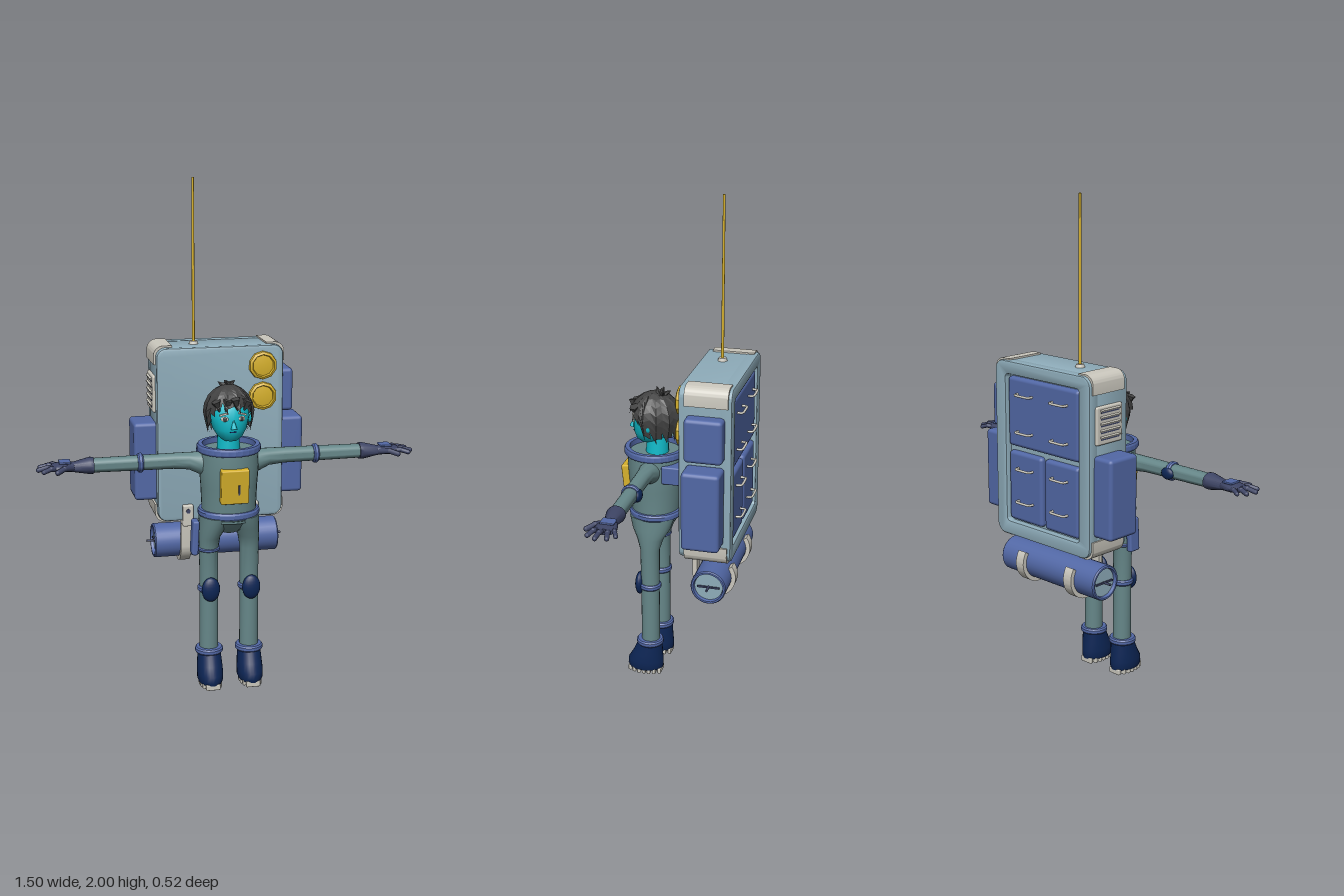
import * as THREE from 'three';
import { toCreasedNormals } from 'three/addons/utils/BufferGeometryUtils.js';
import { RoundedBoxGeometry } from 'three/addons/geometries/RoundedBoxGeometry.js';

const colour = (name, hex, extra = {}) => Object.assign(new THREE.MeshStandardMaterial({ color: hex, ...extra }), { name });
const V = (x, y, z) => new THREE.Vector3(x, y, z);

// Stack of ellipses, bottom to top: [y, cx, cz, rx, rz]
function loft(sections, seg = 20) {
  const rows = [[...sections[0].slice(0, 3), 0, 0], ...sections, [...sections.at(-1).slice(0, 3), 0, 0]];
  const pos = [], idx = [];
  rows.forEach(([y, cx, cz, rx, rz], j) => {
    for (let i = 0; i < seg; i++) {
      const a = (i / seg) * Math.PI * 2;
      pos.push(cx + rx * Math.cos(a), y, cz + rz * Math.sin(a));
      if (!j) continue;
      const n = (i + 1) % seg, p = (j - 1) * seg, q = j * seg;
      idx.push(p + i, q + i, p + n, p + n, q + i, q + n);
    }
  });
  const g = new THREE.BufferGeometry();
  g.setAttribute('position', new THREE.Float32BufferAttribute(pos, 3));
  g.setIndex(idx);
  return toCreasedNormals(g, 0.8);
}

const lathe = (pts, seg = 28) => toCreasedNormals(new THREE.LatheGeometry(pts.map(p => new THREE.Vector2(...p)), seg), 0.6);
const band = (r, h, t = 0.02, seg = 28) => lathe([[r - t, -h / 2], [r - 0.005, -h / 2], [r, -h / 4], [r, h / 4], [r - 0.005, h / 2], [r - t, h / 2], [r - t, -h / 2]], seg);
const box = (w, h, d, r = 0.01) => new RoundedBoxGeometry(w, h, d, 2, r);

function roundRect(target, x0, y0, x1, y1, r) {
  target.moveTo(x0 + r, y0);
  target.lineTo(x1 - r, y0).absarc(x1 - r, y0 + r, r, -Math.PI / 2, 0);
  target.lineTo(x1, y1 - r).absarc(x1 - r, y1 - r, r, 0, Math.PI / 2);
  target.lineTo(x0 + r, y1).absarc(x0 + r, y1 - r, r, Math.PI / 2, Math.PI);
  target.lineTo(x0, y0 + r).absarc(x0 + r, y0 + r, r, Math.PI, Math.PI * 1.5);
  return target;
}

export function createModel() {
  const model = new THREE.Group();
  const pale = colour('paleBlueShell', 0x8fadbb), blue = colour('blueFabric', 0x5268a6), navy = colour('navyRubber', 0x0d2656);
  const suit = colour('tealSuit', 0x668789), light = colour('offWhite', 0xcbc8be), yellow = colour('yellow', 0xd8b22c);
  const skin = colour('cyanSkin', 0x10bccb), glove = colour('slateGlove', 0x3d4464);
  const hair = colour('charcoalHair', 0x424242, { flatShading: true, side: THREE.DoubleSide });

  const group = name => { const g = new THREE.Group(); g.name = name; model.add(g); return g; };
  const add = (parent, name, geo, mat, p = [0, 0, 0], r = [0, 0, 0]) => {
    const m = new THREE.Mesh(geo, mat);
    m.name = name; m.position.set(...p); m.rotation.set(...r);
    parent.add(m); return m;
  };
  const rod = (parent, name, a, b, r, mat) => {
    const d = b.clone().sub(a);
    const m = add(parent, name, new THREE.CapsuleGeometry(r, d.length(), 4, 10), mat, a.clone().add(b).multiplyScalar(0.5).toArray());
    m.quaternion.setFromUnitVectors(V(0, 1, 0), d.normalize());
  };
  const ball = (parent, name, mat, p, s, r) => add(parent, name, new THREE.SphereGeometry(1, 18, 12), mat, p, r).scale.set(...s);

  // ---- Backpack shell, with a recessed rear ----
  const pack = group('backpack');
  const shell = roundRect(new THREE.Shape(), -0.245, 0.645, 0.25, 1.335, 0.03);
  const body = new THREE.ExtrudeGeometry(shell, { depth: 0.16, bevelThickness: 0.01, bevelSize: 0.01, bevelSegments: 2, curveSegments: 6 });
  add(pack, 'packShell', toCreasedNormals(body, 0.6), pale, [0, 0, -0.2]);
  const rim = roundRect(new THREE.Shape(), -0.25, 0.64, 0.255, 1.34, 0.035);
  rim.holes.push(roundRect(new THREE.Path(), -0.205, 0.685, 0.21, 1.3, 0.02));
  const rimGeo = new THREE.ExtrudeGeometry(rim, { depth: 0.035, bevelThickness: 0.006, bevelSize: 0.006, bevelSegments: 2, curveSegments: 6 });
  add(pack, 'rearFrame', toCreasedNormals(rimGeo, 0.6), pale, [0, 0, -0.232]);

  // Rear panels and their grab handles
  const panel = (x, y, w, h) => add(pack, 'rearPanel', box(w, h, 0.04, 0.015), blue, [x, y, -0.212]);
  panel(0.003, 1.145, 0.39, 0.28);
  for (const s of [-1, 1]) {
    panel(0.003 + s * 0.1, 0.842, 0.187, 0.285);
    for (const y of [1.22, 1.07, 0.92, 0.785]) {
      const c = new THREE.CatmullRomCurve3([V(-0.04, 0, 0.03), V(-0.036, 0, 0.002), V(0.036, 0, 0.002), V(0.04, 0, 0.03)], false, 'catmullrom', 0.2);
      add(pack, 'grabHandle', new THREE.TubeGeometry(c, 16, 0.005, 8), light, [0.003 + s * 0.096, y, -0.255]);
    }
  }

  // Wrapped corner guards
  for (const sx of [-1, 1]) for (const sy of [-1, 1]) {
    const g = new THREE.Shape();
    g.moveTo(0, 0.075).lineTo(0, 0.04).absarc(-0.04, 0.04, 0.04, 0, -Math.PI / 2, true);
    g.lineTo(-0.075, 0).lineTo(-0.075, 0.018).lineTo(-0.04, 0.018);
    g.absarc(-0.04, 0.04, 0.022, -Math.PI / 2, 0, false).lineTo(-0.018, 0.075).closePath();
    const geo = new THREE.ExtrudeGeometry(g, { depth: 0.17, bevelEnabled: false, curveSegments: 8 });
    geo.translate(0, 0, -0.085);
    const turn = sx > 0 ? (sy > 0 ? Math.PI / 2 : 0) : (sy > 0 ? Math.PI : -Math.PI / 2);
    add(pack, 'cornerGuard', toCreasedNormals(geo, 0.6), light, [0.003 + sx * 0.266, 0.99 + sy * 0.362, -0.14], [0, 0, turn]);
  }

  // Side pouches and louvred vent
  for (const s of [-1, 1]) add(pack, 'lowerPouch', box(0.1, 0.32, 0.15, 0.015), blue, [0.005 + s * 0.298, 0.88, -0.137]);
  add(pack, 'upperPouch', box(0.07, 0.175, 0.15, 0.015), blue, [0.275, 1.152, -0.137]);
  add(pack, 'ventPlate', box(0.02, 0.15, 0.14, 0.008), light, [-0.256, 1.155, -0.137]);
  for (let i = 0; i < 5; i++) {
    add(pack, 'ventSlot', new THREE.BoxGeometry(0.004, 0.007, 0.1), glove, [-0.266, 1.103 + i * 0.026, -0.137]);
    add(pack, 'ventSlat', new THREE.BoxGeometry(0.012, 0.006, 0.104), light, [-0.267, 1.111 + i * 0.026, -0.137], [0, 0, 0.4]);
  }

  // Front lamps and aerial
  for (const y of [1.265, 1.14]) {
    const lamp = lathe([[0, 0], [0.052, 0], [0.058, 0.008], [0.056, 0.02], [0.046, 0.025], [0.042, 0.016], [0, 0.022]], 10);
    add(pack, 'lamp', lamp, yellow, [0.173, y, -0.033], [Math.PI / 2, 0, 0]);
  }
  add(pack, 'aerialBase', new THREE.CylinderGeometry(0.015, 0.02, 0.015, 16), light, [-0.09, 1.35, -0.118]);
  add(pack, 'aerial', new THREE.CylinderGeometry(0.005, 0.006, 0.65, 10), yellow, [-0.09, 1.675, -0.118]);

  // Bedroll slung in two hooked straps
  const roll = lathe([[0.056, -0.245], [0.06, -0.26], [0.067, -0.26], [0.071, -0.255], [0.071, 0.255], [0.067, 0.26], [0.06, 0.26], [0.056, 0.245]]);
  add(pack, 'bedroll', roll, blue, [0, 0.52, -0.15], [0, 0, Math.PI / 2]);
  add(pack, 'bedrollEnds', new THREE.CylinderGeometry(0.06, 0.06, 0.494, 24), pale, [0, 0.52, -0.15], [0, 0, Math.PI / 2]);
  add(pack, 'bedrollAxle', new THREE.CylinderGeometry(0.005, 0.005, 0.57, 8), glove, [0, 0.52, -0.15], [0, 0, Math.PI / 2]);
  for (const s of [-1, 1]) {
    add(pack, 'axleBar', new THREE.BoxGeometry(0.006, 0.007, 0.09), glove, [s * 0.252, 0.52, -0.15]);
    const j = new THREE.Shape();
    j.moveTo(-0.062, 0.635).lineTo(-0.062, 0.52).absarc(-0.15, 0.52, 0.088, 0, -3.75, true);
    j.absarc(-0.15, 0.52, 0.07, -3.75, 0, false).lineTo(-0.08, 0.635).closePath();
    const strap = new THREE.ExtrudeGeometry(j, { depth: 0.042, bevelEnabled: false, curveSegments: 24 });
    strap.translate(0, 0, -0.021).rotateY(-Math.PI / 2);
    add(pack, 'rollStrap', toCreasedNormals(strap, 0.6), light, [s * 0.135, 0, 0]);
    add(pack, 'strapBracket', box(0.044, 0.085, 0.022, 0.006), light, [s * 0.135, 0.662, -0.021]);
    add(pack, 'bracketFoot', box(0.044, 0.022, 0.06, 0.006), light, [s * 0.135, 0.626, -0.04]);
    add(pack, 'bracketBolt', new THREE.CylinderGeometry(0.009, 0.009, 0.006, 12), glove, [s * 0.135, 0.68, -0.009], [Math.PI / 2, 0, 0]);
  }

  // ---- Suit torso ----
  const torso = group('torso'), Z = 0.133;
  add(torso, 'suitBody', loft([[0.69, 0, Z, 0.11, 0.095], [0.74, 0, Z, 0.108, 0.098], [0.83, 0, Z, 0.112, 0.106], [0.91, 0, Z, 0.118, 0.112], [0.972, 0, Z, 0.112, 0.11]], 28), suit);
  add(torso, 'pelvis', loft([[0.635, 0, Z, 0.03, 0.03], [0.655, 0, Z, 0.09, 0.062], [0.705, 0, Z, 0.115, 0.1]], 28), suit);
  add(torso, 'neckRing', band(0.126, 0.03, 0.022), blue, [0, 0.98, Z]);
  add(torso, 'waistRing', band(0.123, 0.028), blue, [0, 0.72, Z - 0.004]).scale.z = 0.9;
  add(torso, 'chestBox', box(0.11, 0.138, 0.045, 0.005), yellow, [0, 0.848, 0.234], [0.1, 0, 0]);
  add(torso, 'chestBoxLatch', new THREE.BoxGeometry(0.006, 0.04, 0.006), glove, [0.015, 0.835, 0.256], [0.1, 0, 0]);
  add(torso, 'backMount', box(0.21, 0.075, 0.09, 0.006), blue, [0, 0.91, 0.037]);
  for (const x of [-0.075, -0.025, 0.025, 0.08]) add(torso, 'mountPin', new THREE.BoxGeometry(0.016, 0.06, 0.025), blue, [x, 0.91, -0.012]);

  // ---- Arms, gloves, legs and boots ----
  for (const s of [-1, 1]) {
    const arm = group(s > 0 ? 'leftArm' : 'rightArm'), turn = [0, 0, -s * Math.PI / 2], Y = 0.933;
    const along = (name, secs, mat) => add(arm, name, loft(secs.map(([x, dy, ry, rz]) => [x, -s * dy, 0, ry, rz])), mat, [0, Y, 0.13], turn);
    along('sleeve', [[0.05, -0.025, 0.055, 0.055], [0.115, -0.014, 0.045, 0.042], [0.16, -0.003, 0.034, 0.034], [0.22, 0, 0.031, 0.031], [0.54, 0, 0.028, 0.03]], suit);
    add(arm, 'elbowBand', band(0.038, 0.022), blue, [s * 0.35, Y, 0.13], turn);
    ball(arm, 'elbowPad', navy, [s * 0.35, Y - 0.004, 0.1], [0.03, 0.024, 0.014]);
    along('gloveCuff', [[0.53, 0, 0.032, 0.036], [0.545, 0, 0.033, 0.037], [0.605, -0.002, 0.02, 0.025], [0.62, -0.002, 0.018, 0.025]], glove);
    along('palm', [[0.6, -0.002, 0.018, 0.024], [0.63, 0, 0.019, 0.037], [0.665, 0, 0.017, 0.044], [0.69, 0, 0.012, 0.038]], glove);
    add(arm, 'handPlate', box(0.045, 0.008, 0.054, 0.003), blue, [s * 0.64, Y + 0.019, 0.127]);
    for (const [x0, z0, x1, z1, r] of [[0.66, 0.1, 0.708, 0.078, 0.009], [0.67, 0.117, 0.732, 0.104, 0.01], [0.67, 0.137, 0.741, 0.146, 0.01], [0.665, 0.153, 0.722, 0.18, 0.01], [0.615, 0.15, 0.672, 0.2, 0.011]]) {
      const mid = V(s * (x0 + x1) / 2, Y + 0.004, (z0 + z1) / 2);
      rod(arm, 'finger', V(s * x0, Y - 0.002, z0), mid, r * 1.08, glove);
      rod(arm, 'fingerTip', mid, V(s * x1, Y - 0.004, z1), r * 0.95, glove);
    }

    const leg = group(s > 0 ? 'leftLeg' : 'rightLeg'), X = s * 0.082;
    add(leg, 'trouser', loft([[0.1, X, 0.137, 0.038, 0.038], [0.4, X, 0.137, 0.037, 0.038], [0.57, X, 0.137, 0.038, 0.04], [0.62, s * 0.079, 0.136, 0.043, 0.055], [0.66, s * 0.066, 0.134, 0.054, 0.078], [0.71, s * 0.056, Z, 0.062, 0.093]]), suit);
    add(leg, 'kneeBand', band(0.045, 0.024), blue, [X, 0.405, 0.137]);
    ball(leg, 'kneePad', navy, [X, 0.41, 0.18], [0.037, 0.05, 0.02]);
    add(leg, 'boot', loft([[0.018, X, 0.16, 0.047, 0.072], [0.03, X, 0.16, 0.051, 0.076], [0.055, X, 0.159, 0.052, 0.075], [0.09, X, 0.15, 0.05, 0.063], [0.14, X, 0.14, 0.046, 0.05]], 24), navy);
    add(leg, 'bootCuff', band(0.056, 0.024, 0.024), blue, [X, 0.145, 0.14]);
    for (let i = -3; i <= 3; i++) {
      const w = 0.09 * Math.sqrt(1 - (i / 3.9) ** 2);
      add(leg, 'soleTread', box(w, 0.024, 0.015, 0.004), light, [X, 0.012, 0.16 + i * 0.021]);
    }
  }
  // Thigh holster on the right leg
  add(model, 'holster', box(0.026, 0.14, 0.055, 0.008), blue, [-0.138, 0.62, 0.137], [0, 0, -0.05]);
  add(model, 'holsterStrap', band(0.045, 0.014), blue, [-0.082, 0.57, 0.137]);

  // ---- Head ----
  const head = group('head');
  add(head, 'neck', loft([[0.96, 0, 0.125, 0.046, 0.046], [1.06, 0, 0.125, 0.042, 0.044]]), skin);
  add(head, 'face', loft([[1.015, 0, 0.162, 0.028, 0.032], [1.03, 0, 0.153, 0.049, 0.057], [1.06, 0, 0.143, 0.067, 0.077], [1.105, 0, 0.138, 0.078, 0.084], [1.15, 0, 0.134, 0.077, 0.08], [1.19, 0, 0.13, 0.05, 0.055]], 24), skin);
  add(head, 'nose', new THREE.ConeGeometry(0.013, 0.042, 8), skin, [0, 1.09, 0.223], [-0.2, 0, 0]);
  add(head, 'mouth', new THREE.BoxGeometry(0.026, 0.004, 0.006), navy, [0, 1.057, 0.218]);
  for (const s of [-1, 1]) {
    ball(head, 'eyeWhite', light, [s * 0.034, 1.108, 0.2125], [0.015, 0.01, 0.004], [0, s * 0.4, 0]);
    ball(head, 'pupil', hair, [s * 0.033, 1.108, 0.215], [0.008, 0.009, 0.004], [0, s * 0.4, 0]);
    add(head, 'eyebrow', new THREE.BoxGeometry(0.034, 0.007, 0.008), light, [s * 0.037, 1.126, 0.212], [0, s * 0.4, -s * 0.3]);
    ball(head, 'ear', skin, [s * 0.08, 1.1, 0.14], [0.012, 0.025, 0.017]);
  }

  // Ragged hair: a dome whose lower edge is high over the face and low behind
  const seg = 24, dome = new THREE.SphereGeometry(1, seg, 8), p = dome.attributes.position, uv = dome.attributes.uv;
  for (let i = 0; i < p.count; i++) {
    const k = (i % (seg + 1)) % seg, a = (k / seg) * Math.PI * 2, v = Math.floor(i / (seg + 1)) / 8;
    const off = Math.abs(a - Math.PI / 2 > Math.PI ? a - Math.PI * 2.5 : a - Math.PI / 2);
    const edge = 1.3 + 1.05 * THREE.MathUtils.smoothstep(off, 0.6, 1.5) + (k % 2 ? 0.16 : -0.1);
    const t = v * edge, r = (t > 1.57 ? 1 - 0.22 * (t - 1.57) : Math.sin(t)) * (k % 2 ? 1.04 : 0.98);
    p.setXYZ(i, -Math.cos(a) * r * 0.096, 1.118 + Math.cos(t) * 0.108, 0.13 + Math.sin(a) * r * 0.103);
  }
  add(head, 'hair', dome, hair);
  for (const [x, y, z, rx, rz] of [[0, 1.225, 0.12, 0.5, 0.5], [0.015, 1.222, 0.1, -0.7, -0.9], [-0.02, 1.22, 0.11, -0.2, 0.9], [0, 1.22, 0.09, -1.1, 0.2]])
    add(head, 'hairTuft', new THREE.ConeGeometry(0.022, 0.05, 6), hair, [x, y, z], [rx, 0, rz]);
  for (const [x, y, tilt] of [[-0.055, 1.15, -0.35], [-0.025, 1.155, 0.2], [0.012, 1.16, -0.2], [0.05, 1.15, 0.4]])
    add(head, 'fringeLock', new THREE.ConeGeometry(0.02, 0.055, 5), hair, [x, y, 0.221 - Math.abs(x) * 0.45], [Math.PI + 0.15, 0, tilt]);
  return model;
}
